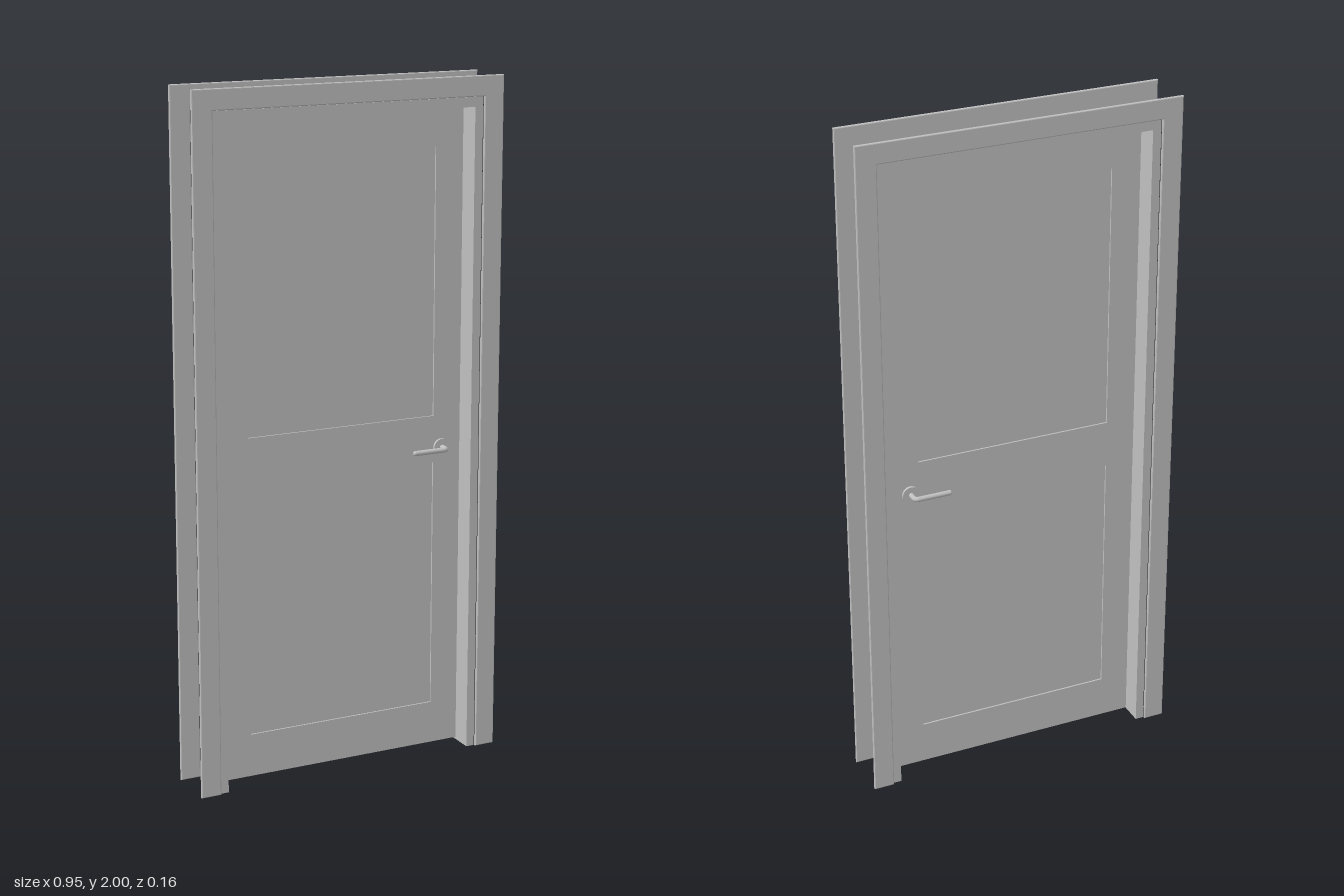
import * as THREE from 'three';

export function createModel() {
  const paint = new THREE.MeshStandardMaterial({ color: 0xc0c0c0 });
  paint.name = 'grey paint';
  const model = new THREE.Group();
  model.name = 'door';

  const add = (parent, name, geometry, x = 0, y = 0, z = 0) => {
    const mesh = new THREE.Mesh(geometry, paint);
    mesh.name = name;
    mesh.position.set(x, y, z);
    parent.add(mesh);
    return mesh;
  };

  const outline = (points) => points.map(([x, y]) => new THREE.Vector2(x, y));
  const rectangle = (w, y0, y1) => outline([[-w, y0], [w, y0], [w, y1], [-w, y1]]);

  // Portal shape: two legs joined by a head, open at the bottom
  const portal = (outer, outerTop, inner, innerTop) => new THREE.Shape(outline([
    [-outer, 0], [-inner, 0], [-inner, innerTop], [inner, innerTop],
    [inner, 0], [outer, 0], [outer, outerTop], [-outer, outerTop],
  ]));

  const extrude = (shape, depth, bevel = 0) => {
    const geometry = new THREE.ExtrudeGeometry(shape, {
      depth: depth - 2 * bevel, bevelEnabled: bevel > 0,
      bevelSize: bevel, bevelThickness: bevel, bevelOffset: -bevel, bevelSegments: 3,
    });
    return geometry.translate(0, 0, -depth / 2 + bevel);
  };

  // Frame lining and the two thin casings with rounded edges
  add(model, 'jamb', extrude(portal(0.415, 1.94, 0.39, 1.912), 0.142));
  for (const side of [1, -1]) {
    add(model, side > 0 ? 'frontCasing' : 'backCasing',
      extrude(portal(0.477, 2, 0.416, 1.941), 0.01, 0.003), 0, 0, side * 0.075);
  }

  // Door leaf: stiles and rails around two shallow recessed panels
  const leaf = new THREE.Shape(rectangle(0.382, 0.013, 1.906));
  for (const [y0, y1] of [[0.14, 0.88], [1.02, 1.8]]) {
    leaf.holes.push(new THREE.Path(rectangle(0.295, y0, y1)));
    add(model, 'recessedPanel', new THREE.BoxGeometry(0.59, y1 - y0, 0.026), 0, (y0 + y1) / 2, 0);
  }
  add(model, 'doorLeaf', extrude(leaf, 0.036));

  // Lever handles on both faces, both pointing away from the latch edge
  for (const side of [1, -1]) {
    const handle = new THREE.Group();
    handle.name = side > 0 ? 'frontHandle' : 'backHandle';
    handle.position.set(0.32, 0.925, side * 0.018);
    const rose = add(handle, 'rose', new THREE.CylinderGeometry(0.025, 0.025, 0.008, 32), 0, 0, side * 0.004);
    rose.rotation.x = Math.PI / 2;
    // Spindle bends into the lever
    const path = new THREE.CurvePath();
    const p = (x, z) => new THREE.Vector3(x, 0, side * z);
    path.add(new THREE.LineCurve3(p(0, 0), p(0, 0.026)));
    path.add(new THREE.QuadraticBezierCurve3(p(0, 0.026), p(0, 0.038), p(-0.012, 0.038)));
    path.add(new THREE.LineCurve3(p(-0.012, 0.038), p(-0.104, 0.038)));
    add(handle, 'lever', new THREE.TubeGeometry(path, 40, 0.0075, 16));
    add(handle, 'leverTip', new THREE.SphereGeometry(0.0075, 16, 10), -0.104, 0, side * 0.038);
    model.add(handle);
  }

  return model;
}
